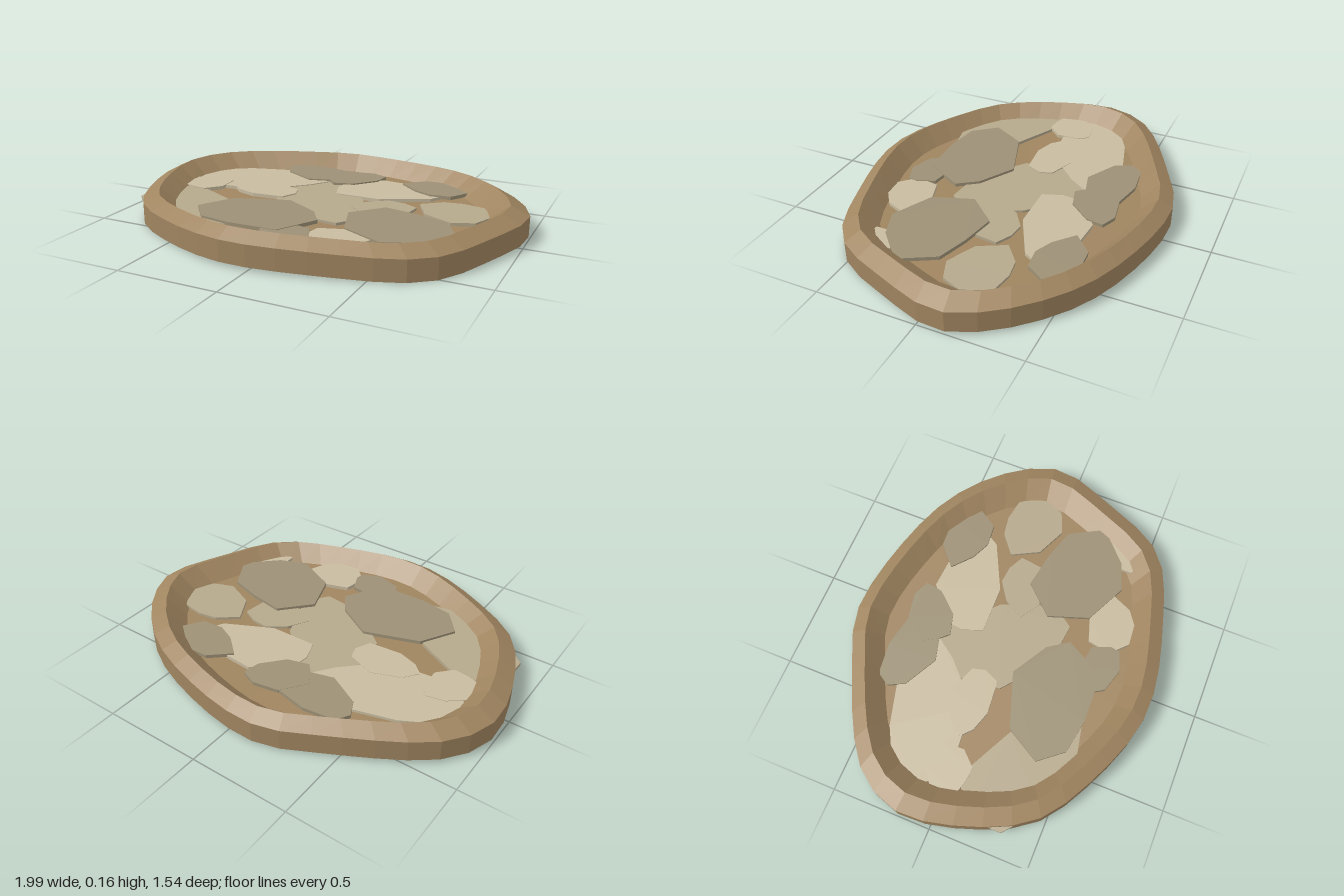
import * as THREE from 'three';

// Plan outline of the basin: a closed curve through a few x, z points
const SIDES = 40;
const CONTROL = [
  [-.13, -.77], [.43, -.67], [.7, -.53], [.92, -.3], [1, -.1], [.91, .2], [.73, .54], [.35, .695],
  [-.12, .765], [-.56, .61], [-.8, .435], [-.975, .02], [-.985, -.195], [-.87, -.4], [-.42, -.665],
];
const OUTLINE = new THREE.CatmullRomCurve3(CONTROL.map(([x, z]) => new THREE.Vector3(x, 0, z)), true)
  .getSpacedPoints(SIDES).slice(0, SIDES);

// Ring at a fraction of the outline, with a gentle three-fold waviness in height
function ring(scale, y, wave = 1) {
  return OUTLINE.map(({ x, z }) => {
    const lift = 0.008 * (1 - Math.sin(3 * Math.atan2(z, x))) * wave;
    return [x * scale, y + lift, z * scale];
  });
}

// Band of faces between two rings
function band(lower, upper) {
  return lower.flatMap((a, i) => {
    const j = (i + 1) % SIDES;
    return [...a, ...upper[i], ...lower[j], ...lower[j], ...upper[i], ...upper[j]];
  });
}

// Fan closing a ring, facing up or down
function cap(loop, y, up) {
  return loop.flatMap((a, i) => {
    const b = loop[(i + 1) % SIDES];
    return up ? [0, y, 0, ...b, ...a] : [0, y, 0, ...a, ...b];
  });
}

function facetedMesh(name, positions, material) {
  const g = new THREE.BufferGeometry();
  g.setAttribute('position', new THREE.Float32BufferAttribute(positions, 3));
  g.computeVertexNormals();
  const mesh = new THREE.Mesh(g, material);
  mesh.name = name;
  return mesh;
}

// Dried plates from lowest to highest: tone, centre x, centre z, half length, half width, turn
const PLATES = [
  ['mid', -.02, -.02, .33, .21, .95],
  ['mid', -.61, .31, .34, .19, .6],
  ['mid', .3, -.04, .16, .1, -.3],
  ['mid', .64, -.12, .18, .14, .1],
  ['light', -.5, -.22, .36, .19, -.35],
  ['light', .22, -.3, .27, .16, -.25],
  ['light', -.36, -.05, .17, .1, 0],
  ['light', -.71, -.03, .13, .11, -.5],
  ['light', .27, .45, .16, .11, -.25],
  ['light', .64, .385, .09, .045, -.9],
  ['dark', .03, .48, .13, .09, 0],
  ['dark', -.22, -.43, .22, .12, .1],
  ['dark', -.02, -.42, .15, .11, -.6],
  ['dark', -.21, .31, .3, .2, 0],
  ['dark', .46, -.42, .18, .11, .1],
  ['dark', .46, .21, .28, .2, .2],
];

// Irregular eight-cornered slab lying flat
function plateGeometry(length, width, seed) {
  const corners = Array.from({ length: 8 }, (_, k) => {
    const angle = (k / 8) * Math.PI * 2 + 0.2 * Math.sin(k * 5 + seed);
    const r = 1.05 + 0.09 * Math.sin(k * 2.4 + seed * 1.7);
    return new THREE.Vector2(length * r * Math.cos(angle), width * r * Math.sin(angle));
  });
  return new THREE.ExtrudeGeometry(new THREE.Shape(corners), { depth: 0.018, bevelEnabled: false })
    .rotateX(-Math.PI / 2);
}

export function createModel() {
  const model = new THREE.Group();
  model.name = 'crackedBasin';
  const faceted = (color) => new THREE.MeshStandardMaterial({ color, flatShading: true });
  const earth = faceted(0xa08560);
  const tones = { light: faceted(0xc8bca0), mid: faceted(0xb5a88c), dark: faceted(0x9d9176) };

  // Basin: upright side, sloping rim, inner wall, floor and underside
  const base = ring(1, 0), shoulder = ring(1, 0.104);
  const crest = ring(0.91, 0.147), floorEdge = ring(0.8, 0.065, 0.5);
  model.add(
    facetedMesh('outerSide', band(base, shoulder), earth),
    facetedMesh('rimSlope', band(shoulder, crest), earth),
    facetedMesh('innerWall', band(crest, floorEdge), earth),
    facetedMesh('floor', cap(floorEdge, 0.069, true), earth),
    facetedMesh('underside', cap(base, 0.008, false), earth),
  );

  // Overlapping plates lying on the floor
  const plates = new THREE.Group();
  plates.name = 'driedPlates';
  PLATES.forEach(([tone, x, z, length, width, turn], i) => {
    const plate = new THREE.Mesh(plateGeometry(length, width, i), tones[tone]);
    plate.name = `plate${i + 1}`;
    plate.position.set(x, 0.064 + i * 0.001, z);
    plate.rotation.y = -turn;
    plates.add(plate);
  });
  model.add(plates);
  return model;
}
